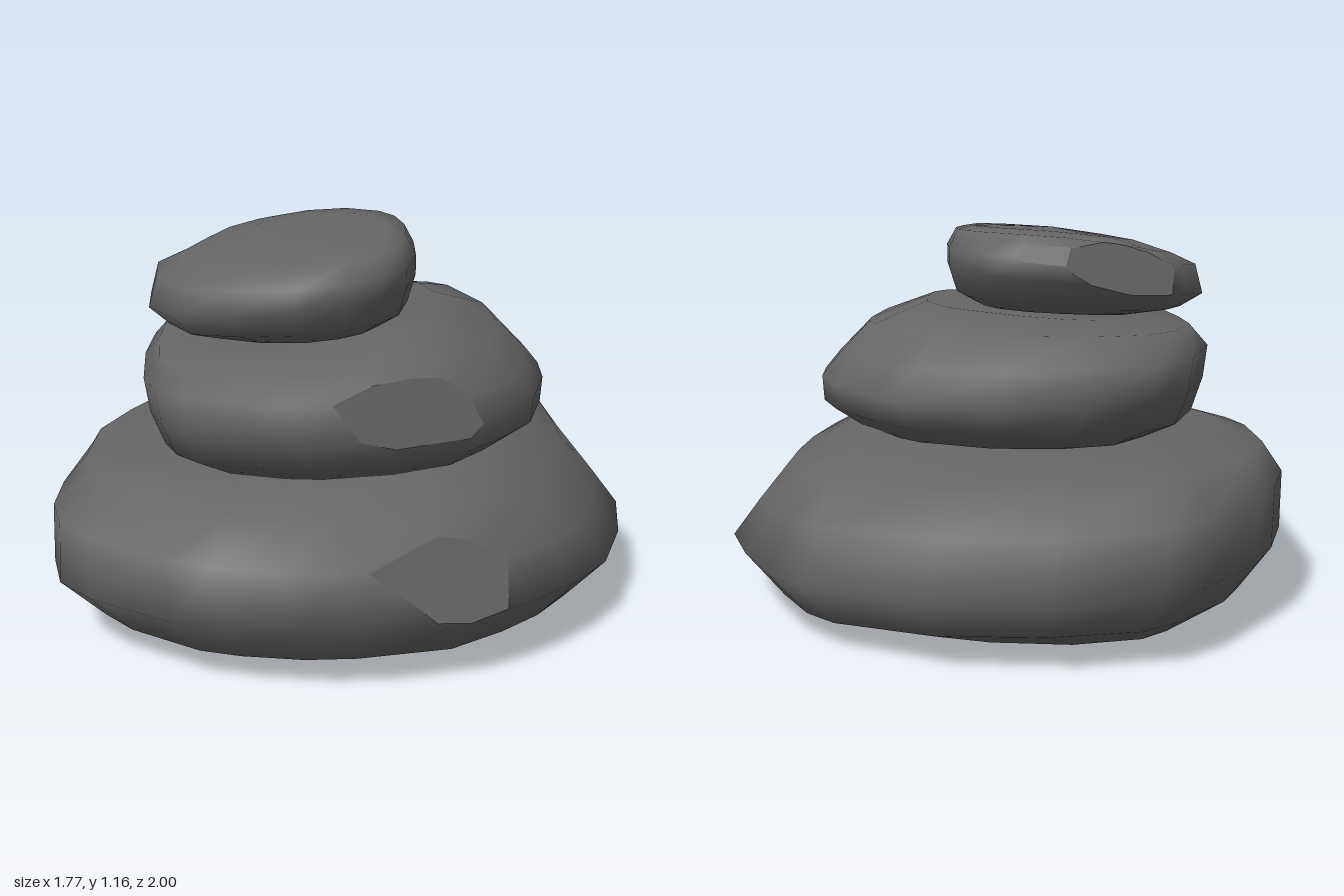
import * as THREE from 'three';

// outline: footprint [x, z]; profiles: [distance, height] pairs going up each side;
// base and crown: middle points of the underside and top; chips: planes [nx, ny, nz, d] cutting flat facets;
// corners: [side x, side z, [[outward, upward] per level]] shifts on the diagonals
function stone(name, material, { outline, left, right, back, front, base, crown, chips, corners }) {
  const loop = outline.map(([x, z]) => new THREE.Vector2(x, z));
  const box = new THREE.Box2().setFromPoints(loop);
  const mid = box.getCenter(new THREE.Vector2());
  const half = box.getSize(new THREE.Vector2()).multiplyScalar(0.5);
  const sides = loop.length, levels = left.length;
  const positions = [], index = [];

  // stacked, tilted cross-sections through the four side profiles
  for (let i = 0; i < levels; i++) {
    const [l, r, b, f] = [left[i], right[i], back[i], front[i]];
    for (const p of loop) {
      const u = (p.x - mid.x) / half.x, v = (p.y - mid.y) / half.y;
      const cu = u / Math.hypot(u, v), cv = v / Math.hypot(u, v);
      let x = (l[0] + r[0] + u * (r[0] - l[0])) / 2;
      let z = (b[0] + f[0] + v * (f[0] - b[0])) / 2;
      let y = (cu * cu * (l[1] + r[1]) + cv * cv * (b[1] + f[1]) + cu * (r[1] - l[1]) + cv * (f[1] - b[1])) / 2;
      for (const [sx, sz, shifts] of corners) {
        if (u * sx <= 0 || v * sz <= 0) continue;
        const weight = (2 * cu * cv) ** 2, [out, up] = shifts[i];
        x += sx * out * weight * Math.SQRT1_2;
        z += sz * out * weight * Math.SQRT1_2;
        y += up * weight;
      }
      positions.push(x, y, z);
    }
  }
  const hub = positions.length / 3, top = (levels - 1) * sides;
  positions.push(...base, ...crown);

  for (let j = 0; j < sides; j++) {
    const k = (j + 1) % sides;
    for (let i = 0; i < levels - 1; i++) {
      const a = i * sides + j, b = i * sides + k;
      index.push(a, a + sides, b, b, a + sides, b + sides);
    }
    index.push(hub, j, k, hub + 1, top + k, top + j);
  }

  const geometry = new THREE.BufferGeometry();
  geometry.setAttribute('position', new THREE.Float32BufferAttribute(positions, 3));
  geometry.setIndex(index);
  geometry.computeVertexNormals();

  const mesh = new THREE.Mesh(chips.reduce(cutFacet, geometry.toNonIndexed()), material);
  mesh.name = name;
  return mesh;
}

// split the faces along the plane and press everything beyond it flat
function cutFacet(geometry, [nx, ny, nz, d]) {
  const n = new THREE.Vector3(nx, ny, nz);
  const plane = new THREE.Plane(n.clone().normalize(), -d / n.length());
  const pos = geometry.attributes.position, nor = geometry.attributes.normal;
  const positions = [], normals = [];

  const addPolygon = (polygon) => {
    for (let i = 1; i < polygon.length - 1; i++) {
      for (const c of [polygon[0], polygon[i], polygon[i + 1]]) {
        positions.push(...c.p.toArray());
        normals.push(...c.n.toArray());
      }
    }
  };

  for (let i = 0; i < pos.count; i += 3) {
    const corners = [i, i + 1, i + 2].map((k) => {
      const p = new THREE.Vector3().fromBufferAttribute(pos, k);
      return { p, n: new THREE.Vector3().fromBufferAttribute(nor, k), over: plane.distanceToPoint(p) };
    });
    const kept = [], flat = [];
    corners.forEach((a, k) => {
      const b = corners[(k + 1) % 3];
      if (a.over <= 0) kept.push(a);
      else flat.push({ p: plane.projectPoint(a.p, new THREE.Vector3()), n: plane.normal });
      if ((a.over <= 0) !== (b.over <= 0)) {
        const t = a.over / (a.over - b.over);
        const p = a.p.clone().lerp(b.p, t);
        kept.push({ p, n: a.n.clone().lerp(b.n, t).normalize() });
        flat.push({ p, n: plane.normal });
      }
    });
    addPolygon(kept);
    addPolygon(flat);
  }

  const result = new THREE.BufferGeometry();
  result.setAttribute('position', new THREE.Float32BufferAttribute(positions, 3));
  result.setAttribute('normal', new THREE.Float32BufferAttribute(normals, 3));
  return result;
}

export function createModel() {
  const grey = new THREE.MeshStandardMaterial({ color: 0x666666 });
  grey.name = 'stone grey';
  const group = new THREE.Group();
  group.name = 'stackedStones';

  group.add(stone('bottomStone', grey, {
    outline: [[-0.06, -1], [0.29, -0.95], [0.62, -0.74], [0.72, -0.6], [0.82, -0.34], [0.885, -0.1],
      [0.855, 0.17], [0.78, 0.43], [0.67, 0.6], [0.54, 0.74], [0.36, 0.89], [0.05, 0.98], [-0.12, 0.995],
      [-0.33, 0.97], [-0.47, 0.93], [-0.72, 0.77], [-0.83, 0.65], [-0.88, 0.48], [-0.885, 0.27],
      [-0.86, -0.12], [-0.78, -0.38], [-0.7, -0.56], [-0.49, -0.84], [-0.37, -0.94]],
    left: [[-0.69, 0.01], [-0.77, 0.055], [-0.885, 0.2], [-0.89, 0.38], [-0.84, 0.46], [-0.7, 0.485]],
    right: [[0.48, 0.005], [0.76, 0.045], [0.885, 0.19], [0.8, 0.3], [0.68, 0.44], [0.48, 0.54]],
    back: [[-0.72, 0.015], [-0.91, 0.1], [-1, 0.21], [-0.97, 0.39], [-0.7, 0.48], [-0.25, 0.535]],
    front: [[0.71, 0.01], [0.84, 0.06], [1, 0.22], [0.99, 0.38], [0.86, 0.48], [0.62, 0.54]],
    base: [-0.1, 0, 0],
    crown: [0.1, 0.558, 0.2],
    chips: [[0.458, 0.39, 0.798, 0.94]],
    corners: [
      [1, -1, [[0, 0], [0, 0], [0, 0], [0.03, 0.03], [0.13, 0.02], [0.15, 0.01]]],
      [-1, 1, [[0, 0], [0, 0], [0, 0], [-0.02, 0], [-0.14, 0], [-0.06, 0]]],
      [1, 1, [[0, 0], [0, 0], [0, 0], [0, 0], [0, 0.01], [0, 0.01]]],
    ],
  }));

  group.add(stone('middleStone', grey, {
    outline: [[0.06, -0.63], [0.32, -0.53], [0.4, -0.45], [0.54, -0.22], [0.59, -0.04], [0.59, 0.13],
      [0.54, 0.37], [0.46, 0.5], [0.34, 0.65], [0.13, 0.75], [-0.12, 0.79], [-0.25, 0.775], [-0.45, 0.71],
      [-0.53, 0.62], [-0.58, 0.5], [-0.62, 0.2], [-0.625, -0.05], [-0.53, -0.35], [-0.4, -0.53], [-0.19, -0.62]],
    left: [[-0.47, 0.52], [-0.58, 0.57], [-0.615, 0.68], [-0.63, 0.78], [-0.58, 0.84], [-0.4, 0.86]],
    right: [[0.5, 0.545], [0.595, 0.61], [0.6, 0.69], [0.55, 0.75], [0.45, 0.85], [0.26, 0.92]],
    back: [[-0.48, 0.535], [-0.57, 0.59], [-0.625, 0.67], [-0.605, 0.78], [-0.44, 0.86], [-0.2, 0.89]],
    front: [[0.66, 0.535], [0.73, 0.59], [0.795, 0.68], [0.795, 0.79], [0.72, 0.855], [0.55, 0.885]],
    base: [-0.05, 0.53, 0.05],
    crown: [0, 0.896, 0.2],
    chips: [[0.417, 0.235, 0.878, 0.855]],
    corners: [
      [1, -1, [[0, 0], [0, 0], [0, 0], [0, 0.01], [0.04, 0.02], [0.08, 0.01]]],
      [1, 1, [[0, 0], [0, 0], [0, 0], [0, 0], [0, 0.01], [0.02, 0.005]]],
    ],
  }));

  group.add(stone('topStone', grey, {
    outline: [[-0.18, -0.34], [-0.03, -0.33], [0.1, -0.25], [0.16, -0.15], [0.195, 0], [0.2, 0.2],
      [0.17, 0.4], [0.1, 0.52], [0, 0.59], [-0.14, 0.625], [-0.33, 0.58], [-0.5, 0.48], [-0.6, 0.27],
      [-0.625, 0.05], [-0.55, -0.12], [-0.48, -0.23], [-0.37, -0.3]],
    left: [[-0.45, 0.875], [-0.56, 0.89], [-0.625, 0.935], [-0.6, 1.03], [-0.52, 1.065], [-0.4, 1.105]],
    right: [[0.11, 0.91], [0.175, 0.95], [0.2, 1.03], [0.2, 1.09], [0.17, 1.145], [0.12, 1.155]],
    back: [[-0.15, 0.893], [-0.23, 0.92], [-0.325, 1], [-0.335, 1.075], [-0.27, 1.135], [-0.13, 1.147]],
    front: [[0.52, 0.893], [0.59, 0.93], [0.62, 1], [0.63, 1.07], [0.56, 1.115], [0.44, 1.13]],
    base: [-0.17, 0.89, 0.17],
    crown: [-0.14, 1.147, 0.15],
    chips: [[-0.42, 0.35, -0.84, 0.71], [0, 0.5, -0.87, 0.815]],
    corners: [],
  }));

  return group;
}
